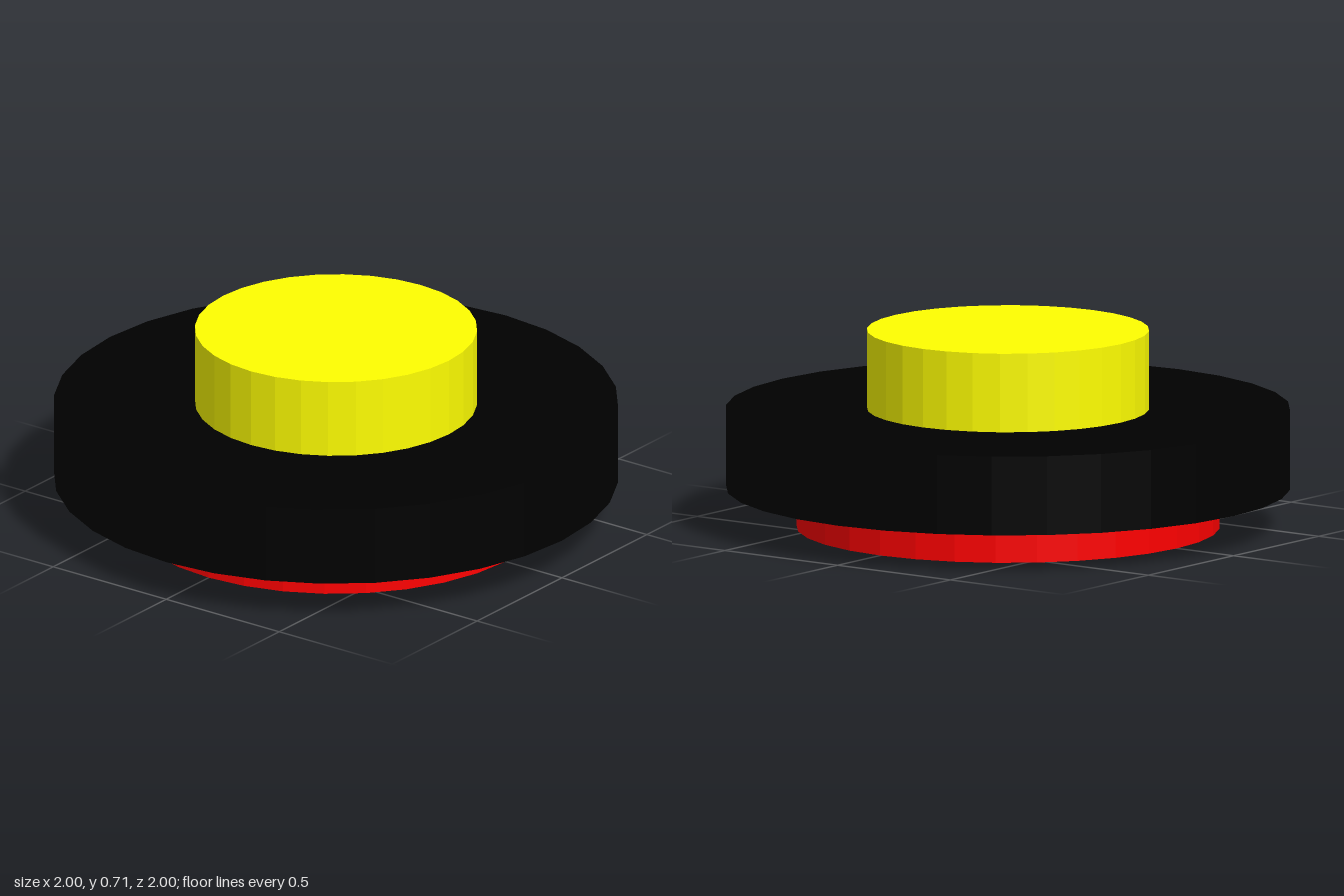
import * as THREE from 'three';

const SIDES = 32;

// One faceted disc standing between two heights
function disc(name, radius, bottom, top, color) {
  const mesh = new THREE.Mesh(
    new THREE.CylinderGeometry(radius, radius, top - bottom, SIDES),
    new THREE.MeshStandardMaterial({ color, flatShading: true })
  );
  mesh.name = name;
  mesh.position.y = (bottom + top) / 2;
  return mesh;
}

export function createModel() {
  const model = new THREE.Group();
  model.name = 'stackedDiscs';
  model.add(
    disc('baseDisc', 0.75, 0, 0.142, 0xff0000),
    disc('wideDisc', 1, 0.142, 0.425, 0x000000),
    disc('topDisc', 0.5, 0.425, 0.707, 0xffff00)
  );
  return model;
}
